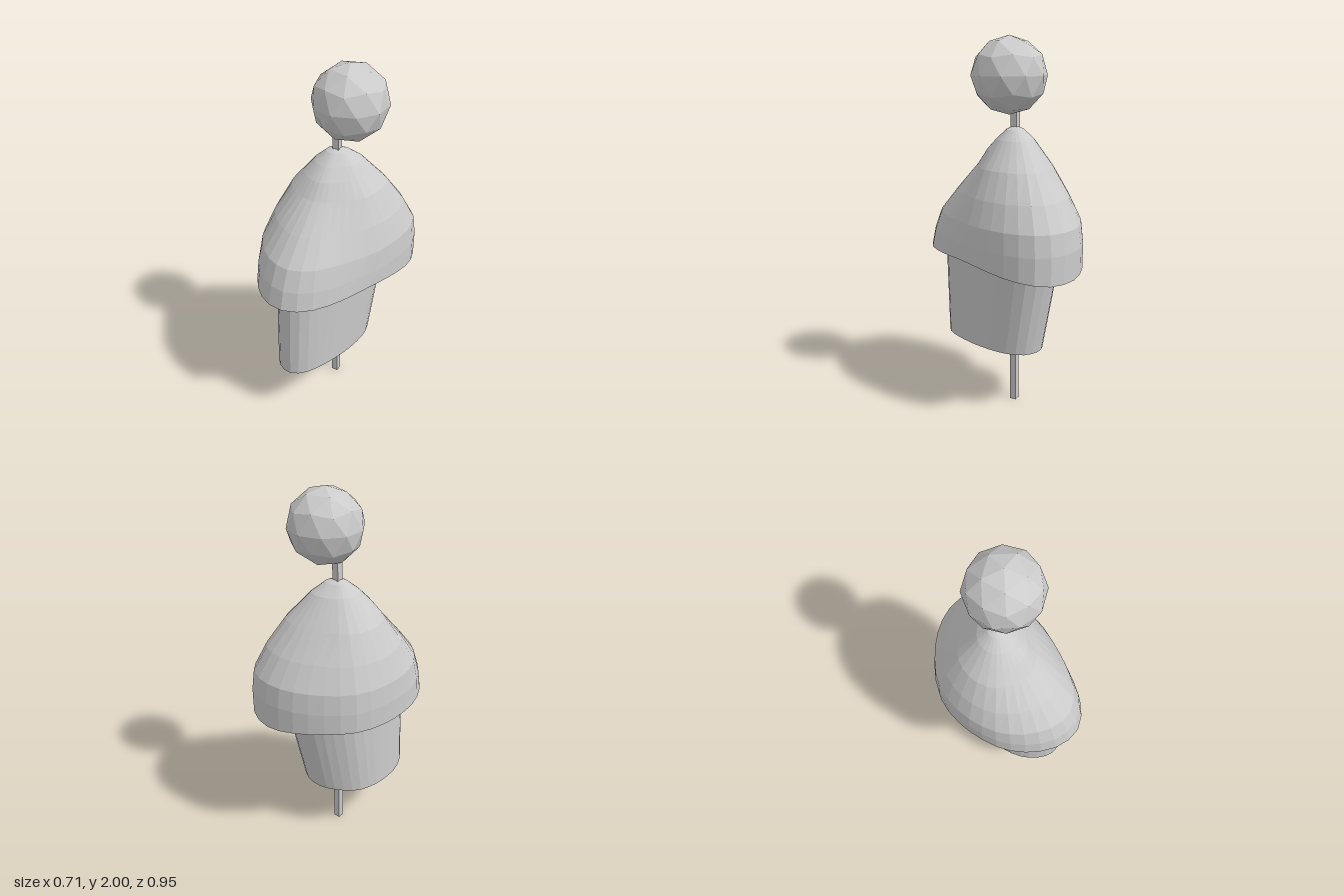
import * as THREE from 'three';

const SEGMENTS = 32;
const AXIS = new THREE.Vector2(0, -0.06); // the pole, in x and z
const material = new THREE.MeshStandardMaterial({ color: 0xcccccc, flatShading: true });

// Lopsided rim of the cap: x, height, z
const rim = new THREE.CatmullRomCurve3([
  [-0.025, 0.856, 0.472], [0.1, 0.86, 0.415], [0.215, 0.868, 0.26], [0.27, 0.873, 0.14],
  [0.31, 0.872, 0.04], [0.34, 0.858, -0.08], [0.356, 0.84, -0.21], [0.335, 0.823, -0.35],
  [0.27, 0.813, -0.43], [0.12, 0.813, -0.475], [-0.04, 0.83, -0.445], [-0.2, 0.845, -0.35],
  [-0.295, 0.848, -0.25], [-0.345, 0.845, -0.11], [-0.358, 0.844, 0.02], [-0.34, 0.845, 0.185],
  [-0.265, 0.848, 0.335], [-0.15, 0.852, 0.44],
].map(p => new THREE.Vector3(...p)), true).getSpacedPoints(SEGMENTS).slice(0, SEGMENTS);

// Skin over closed rings listed from bottom to top, with both ends closed by fans
function loft(rings) {
  const n = SEGMENTS, position = [], index = [];
  const centre = ring => ring.reduce((s, p) => s.add(p), new THREE.Vector3()).divideScalar(n);
  for (const p of rings.flat()) position.push(p.x, p.y, p.z);
  const bottom = rings.length * n, top = bottom + 1, last = (rings.length - 1) * n;
  for (const p of [centre(rings[0]), centre(rings.at(-1))]) position.push(p.x, p.y, p.z);
  for (let i = 0; i < n; i++) {
    const j = (i + 1) % n;
    for (let r = 0; r < rings.length - 1; r++) {
      const a = r * n + i, b = r * n + j;
      index.push(a, b, b + n, a, b + n, a + n);
    }
    index.push(bottom, j, i, top, last + i, last + j);
  }
  const geometry = new THREE.BufferGeometry();
  geometry.setAttribute('position', new THREE.Float32BufferAttribute(position, 3));
  geometry.setIndex(index);
  const flat = geometry.toNonIndexed();
  flat.computeVertexNormals();
  return flat;
}

// Cap levels: height, then reach towards the rim at the sides, front and back
const capLevels = [
  [0.96, 1, 0.955, 1], [1.07, 0.975, 0.87, 0.965], [1.2, 0.85, 0.66, 0.78],
  [1.34, 0.65, 0.415, 0.53], [1.42, 0.46, 0.31, 0.38], [1.48, 0.32, 0.2, 0.27],
  [1.53, 0.16, 0.09, 0.12], [1.55, 0.01, 0.01, 0.01],
];

function capRing([y, side, front, back]) {
  return rim.map(p => {
    const dx = p.x - AXIS.x, dz = p.z - AXIS.y;
    const weight = dz * dz / (dx * dx + dz * dz);
    const reach = THREE.MathUtils.lerp(side, dz > 0 ? front : back, weight);
    return new THREE.Vector3(AXIS.x + dx * reach, y, AXIS.y + dz * reach);
  });
}

// Stem section: the rim outline scaled about its own centre, slightly tilted
function stemRing(x, y, z, scaleX, scaleZ, tilt) {
  return rim.map(p => {
    const px = x + p.x * scaleX;
    return new THREE.Vector3(px, y + px * tilt, z + p.z * scaleZ);
  });
}

export function createModel() {
  const model = new THREE.Group();
  const add = (name, geometry) => {
    const mesh = new THREE.Mesh(geometry, material);
    mesh.name = name;
    model.add(mesh);
    return mesh;
  };

  add('cap', loft([rim, ...capLevels.map(capRing)]));

  add('stem', loft([
    stemRing(-0.028, 0.333, 0.08, 0.565, 0.656, 0.09),
    stemRing(-0.008, 0.875, 0.025, 0.616, 0.772, 0),
  ]));

  add('pole', new THREE.BoxGeometry(0.036, 1.66, 0.036)).position.set(AXIS.x - 0.002, 0.83, AXIS.y);

  // Faceted ball with a corner straight up
  const ball = new THREE.IcosahedronGeometry(0.195, 1);
  ball.rotateX(-Math.atan((1 + Math.sqrt(5)) / 2)).rotateY(Math.PI / 2);
  add('ball', ball).position.set(0.067, 1.805, -0.065);

  return model;
}
